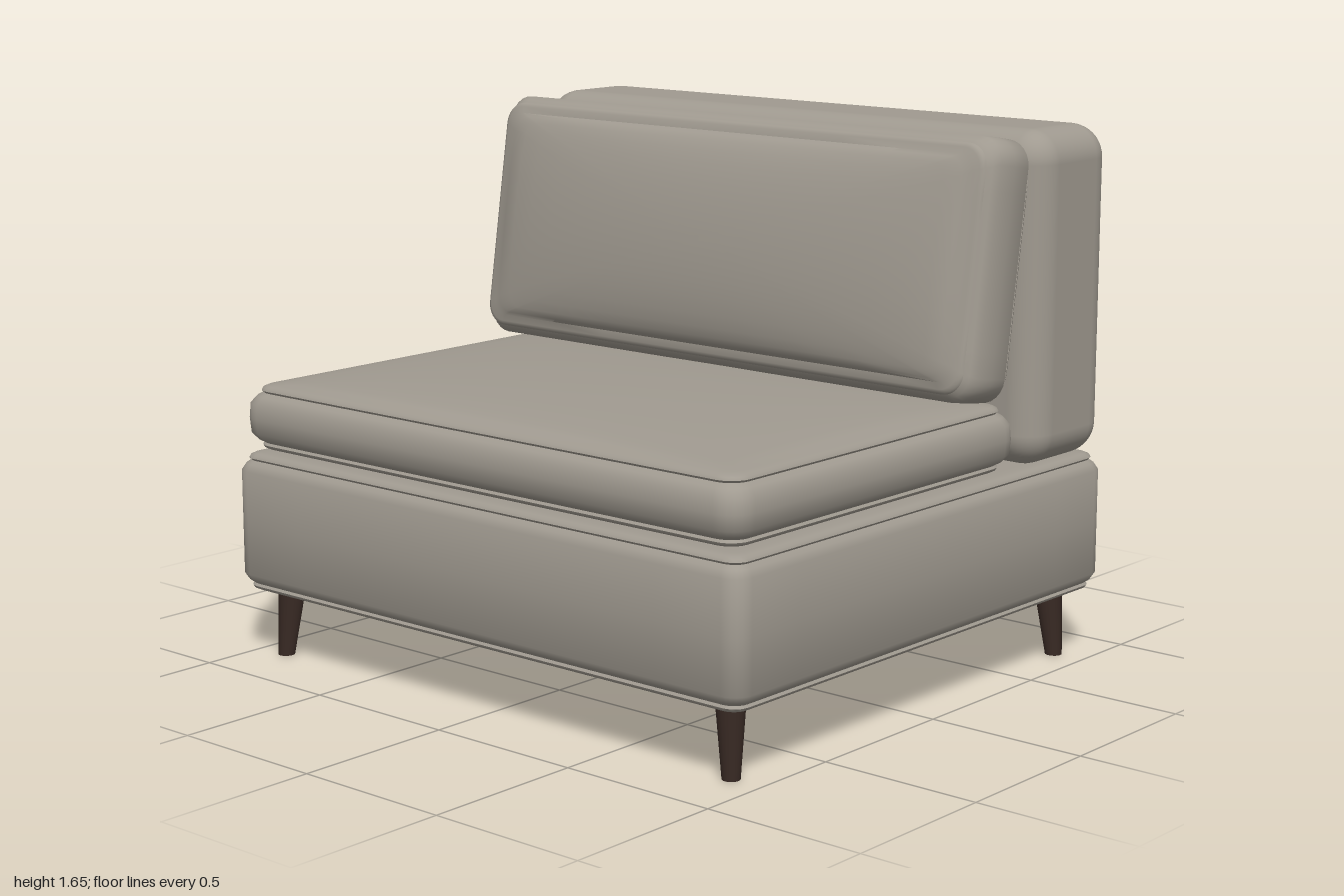
import * as THREE from 'three';
import { RoundedBoxGeometry } from 'three/addons/geometries/RoundedBoxGeometry.js';
import { toCreasedNormals } from 'three/addons/utils/BufferGeometryUtils.js';

const fabric = new THREE.MeshStandardMaterial({ color: 0xa09a90 });
const wood = new THREE.MeshStandardMaterial({ color: 0x3a2b25 });

// Counter-clockwise rounded rectangle in the xz plane (seen from +y)
function outline(a, b, r, arc = 6, side = 8) {
  const corners = [[1, 1], [1, -1], [-1, -1], [-1, 1]];
  const pts = [];
  corners.forEach(([sx, sz], k) => {
    const cx = sx * (a - r), cz = sz * (b - r);
    for (let i = 0; i <= arc; i++) {
      const t = Math.PI / 2 - (k + i / arc) * Math.PI / 2;
      pts.push([cx + r * Math.cos(t), cz + r * Math.sin(t)]);
    }
    // subdivide the straight run to the next corner so that domes stay smooth
    const [nx, nz] = corners[(k + 1) % 4];
    const t = -k * Math.PI / 2;
    const [px, pz] = [cx + r * Math.cos(t), cz + r * Math.sin(t)];
    const [qx, qz] = [nx * (a - r) + r * Math.cos(t), nz * (b - r) + r * Math.sin(t)];
    for (let i = 1; i < side; i++) pts.push([px + (qx - px) * i / side, pz + (qz - pz) * i / side]);
  });
  return pts;
}

// Stacked outlines following a [height, inset] profile, closed by domed caps
function cushion(a, b, r, profile, domeTop = 0, domeBottom = 0) {
  const pos = [], index = [];
  const ring = (inset, scale, y, dome) => {
    const A = a - inset, B = b - inset;
    for (const [x, z] of outline(A, B, Math.max(r - inset * 0.5, 0.02))) {
      const u = x * scale / A, v = z * scale / B;
      const rise = Math.sqrt(Math.max(0, (1 - u * u) * (1 - v * v)));
      pos.push(x * scale, y + dome * rise, z * scale);
    }
  };
  const steps = [0.02, 0.12, 0.25, 0.4, 0.55, 0.7, 0.82, 0.91, 0.97];
  const first = profile[0], last = profile[profile.length - 1];
  steps.forEach(s => ring(first[1], s, first[0], -domeBottom));
  profile.forEach(([y, inset]) => ring(inset, 1, y, 0));
  [...steps].reverse().forEach(s => ring(last[1], s, last[0], domeTop));
  const n = outline(a, b, r).length, rows = pos.length / 3 / n;
  for (let j = 0; j < rows - 1; j++) {
    for (let i = 0; i < n; i++) {
      const p = j * n + i, q = j * n + (i + 1) % n;
      index.push(p, p + n, q, q, p + n, q + n);
    }
  }
  // centre points of both caps
  const c = pos.length / 3;
  pos.push(0, first[0] - domeBottom, 0, 0, last[0] + domeTop, 0);
  for (let i = 0; i < n; i++) {
    const k = (i + 1) % n, t = (rows - 1) * n;
    index.push(c, i, k, c + 1, t + k, t + i);
  }
  const g = new THREE.BufferGeometry();
  g.setAttribute('position', new THREE.Float32BufferAttribute(pos, 3));
  g.setIndex(index);
  // outline runs clockwise seen from above, so flip the winding to face outward
  for (let i = 0; i < index.length; i += 3) {
    g.index.setX(i + 1, index[i + 2]);
    g.index.setX(i + 2, index[i + 1]);
  }
  return toCreasedNormals(g, 0.8);
}

// Half profile with a piped seam, mirrored for the other face
function piped(h, bulge) {
  const half = [
    [-h, 0.055 + bulge], [-h + 0.003, 0.034 + bulge], [-h + 0.008, 0.024 + bulge],
    [-h + 0.016, 0.02 + bulge], [-h + 0.023, 0.026 + bulge],
    [-h + 0.034, 0.012 + bulge * 0.7], [-h + 0.055, bulge * 0.3],
  ];
  return [...half, [0, 0], ...half.map(([y, i]) => [-y, i]).reverse()];
}

export function createModel() {
  const group = new THREE.Group();
  const add = (name, geometry, material, x, y, z) => {
    const mesh = new THREE.Mesh(geometry, material);
    mesh.name = name;
    mesh.position.set(x, y, z);
    group.add(mesh);
    return mesh;
  };

  // Upholstered base
  add('base', cushion(1, 0.88, 0.06, piped(0.216, 0)), fabric, 0, 0.426, 0);

  // Seat cushion
  add('seatCushion', cushion(0.982, 0.657, 0.08, piped(0.1, 0.012), 0.04, 0.004), fabric, 0, 0.752, 0.212);

  // Backrest
  add('backrest', new RoundedBoxGeometry(2, 1.005, 0.396, 5, 0.1), fabric, 0, 1.143, -0.68);

  // Leaning back cushion, its domed face turned forward
  const back = add('backCushion', cushion(0.972, 0.388, 0.08, piped(0.125, 0.004), 0.08, 0.01),
    fabric, 0, 1.25, -0.345);
  back.rotation.x = Math.PI / 2 - 0.155;

  // Tapered legs, splayed slightly outward
  for (const [sx, sz, name] of [[1, 1, 'frontLeftLeg'], [-1, 1, 'frontRightLeg'],
    [1, -1, 'backLeftLeg'], [-1, -1, 'backRightLeg']]) {
    const g = new THREE.CylinderGeometry(0.043, 0.026, 0.215, 20);
    const p = g.attributes.position;
    for (let i = 0; i < p.count; i++) {
      const s = 0.5 - p.getY(i) / 0.215;
      p.setX(i, p.getX(i) + sx * 0.016 * s);
      p.setZ(i, p.getZ(i) + sz * 0.016 * s);
    }
    add(name, g, wood, sx * 0.879, 0.1075, sz * 0.763);
  }
  return group;
}
